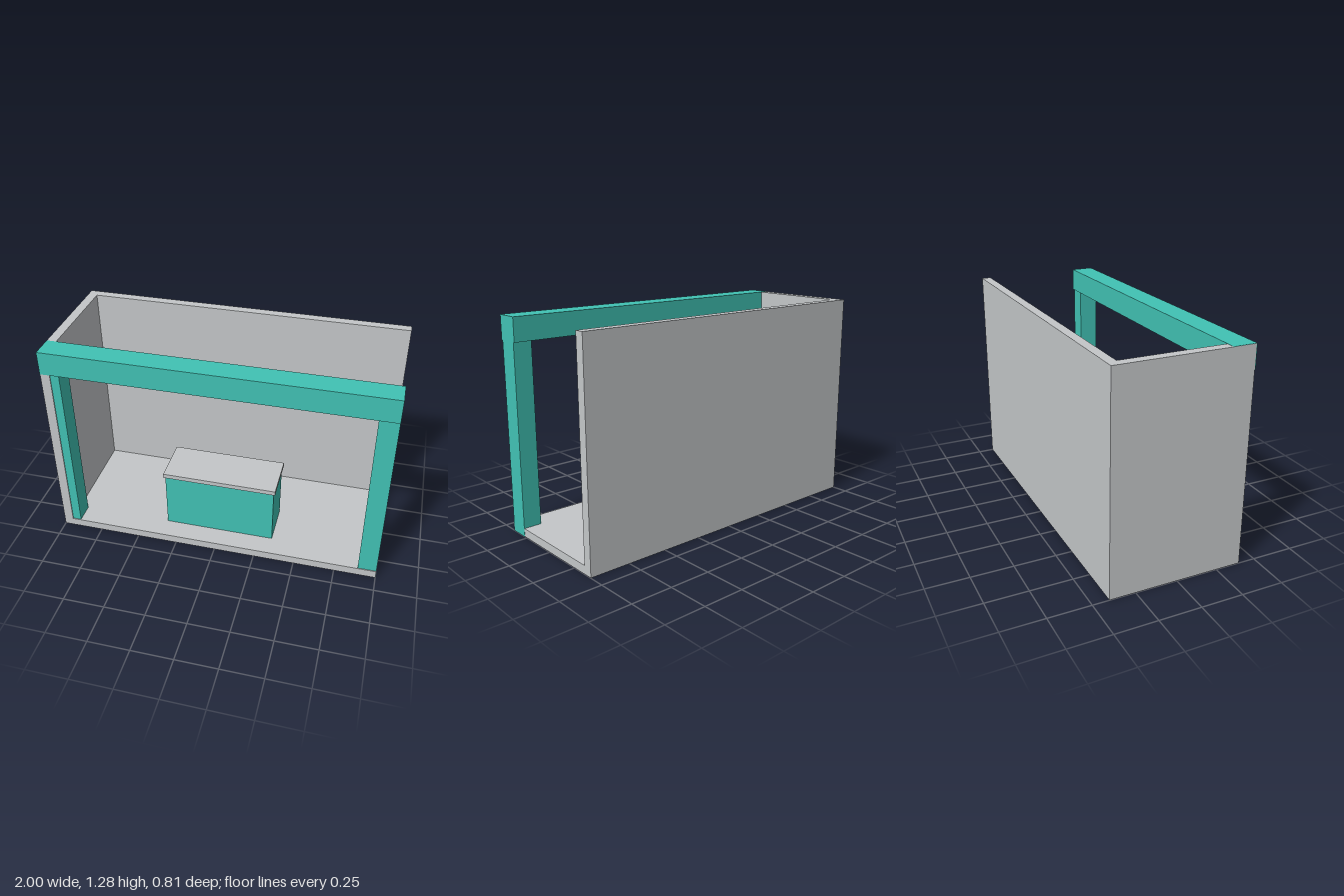
import * as THREE from 'three';

const grey = new THREE.MeshStandardMaterial({ color: 0xc4c7c9 });
grey.name = 'light grey';
const teal = new THREE.MeshStandardMaterial({ color: 0x41c2b4 });
teal.name = 'teal';

// Box given by its lower and upper bounds on each axis
function box(name, material, [x0, x1], [y0, y1], [z0, z1]) {
  const mesh = new THREE.Mesh(new THREE.BoxGeometry(x1 - x0, y1 - y0, z1 - z0), material);
  mesh.position.set((x0 + x1) / 2, (y0 + y1) / 2, (z0 + z1) / 2);
  mesh.name = name;
  return mesh;
}

export function createModel() {
  const model = new THREE.Group();
  model.name = 'exhibitionBooth';

  // Floor and the two walls; the left side stays open
  model.add(
    box('floor', grey, [-1, 1], [0, 0.05], [-0.403, 0.398]),
    box('backWall', grey, [-1, 1], [0.05, 1.28], [-0.403, -0.347]),
    box('sideWall', grey, [-1, -0.943], [0.05, 1.28], [-0.347, 0.398])
  );

  // Front frame: the open-side post shows flush through the floor's edge
  model.add(
    box('leftPost', teal, [0.89, 1.001], [-0.001, 1.14], [0.273, 0.393]),
    box('rightPost', teal, [-0.999, -0.89], [0.002, 1.14], [0.273, 0.393]),
    box('beam', teal, [-0.999, 1.001], [1.14, 1.281], [0.263, 0.403])
  );

  // Counter with an overhanging top
  const counter = new THREE.Group();
  counter.name = 'counter';
  counter.add(
    box('counterBody', teal, [-0.34, 0.34], [0.05, 0.415], [0.004, 0.27]),
    box('counterTop', grey, [-0.35, 0.35], [0.415, 0.443], [-0.006, 0.28])
  );
  model.add(counter);

  return model;
}
